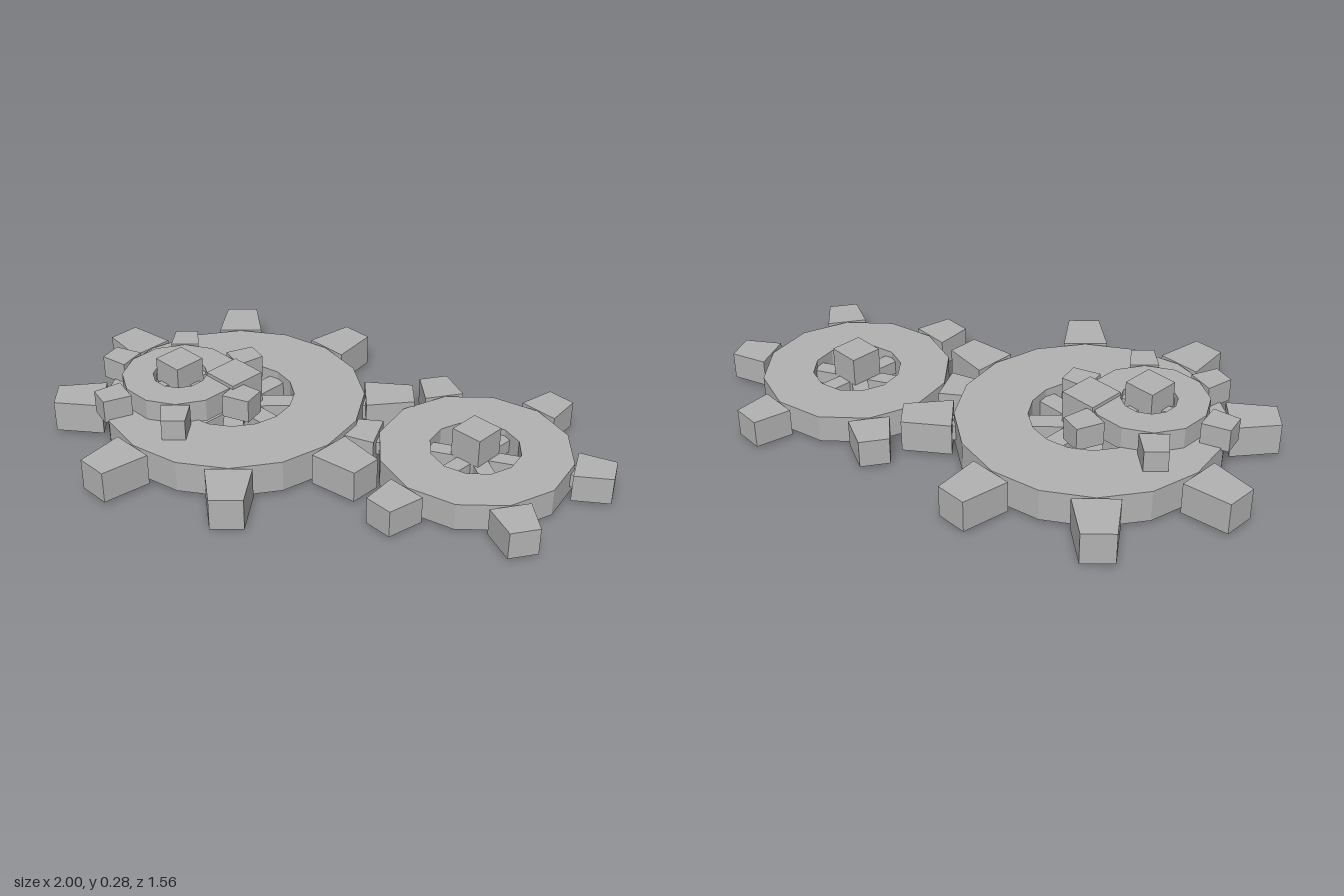
import * as THREE from 'three';

const steel = new THREE.MeshStandardMaterial({ color: 0xb2b2b2 });
steel.name = 'grey metal';

// Flat outline in plan (x right, y away) raised to a plate standing on y = 0
function plate(shape, height) {
  const geo = new THREE.ExtrudeGeometry(shape, { depth: height, bevelEnabled: false, curveSegments: 1 });
  return geo.rotateX(-Math.PI / 2);
}

function polygon(radius, sides) {
  return Array.from({ length: sides }, (_, i) => {
    const a = (i / sides) * Math.PI * 2;
    return new THREE.Vector2(Math.cos(a) * radius, Math.sin(a) * radius);
  });
}

function addMesh(parent, name, geometry, y) {
  const mesh = new THREE.Mesh(geometry, steel);
  mesh.name = name;
  mesh.position.y = y;
  parent.add(mesh);
  return mesh;
}

function createGear(g) {
  const gear = new THREE.Group();
  gear.name = g.name;
  gear.position.set(g.x, 0, g.z);
  const height = g.top - g.bottom;

  // Everything that turns with the teeth
  const wheel = new THREE.Group();
  wheel.name = 'wheel';
  wheel.rotation.y = THREE.MathUtils.degToRad(g.angle);
  gear.add(wheel);

  // Faceted rim with a round opening
  const rim = new THREE.Shape(polygon(g.rim, g.teeth * 2));
  rim.holes.push(new THREE.Path(polygon(g.hole, g.teeth * 2)));
  addMesh(wheel, 'rim', plate(rim, height), g.bottom);

  // Tapered teeth, each carried by a spoke running out from the hub
  const tooth = plate(new THREE.Shape([
    new THREE.Vector2(g.rim + 0.004, -g.base / 2),
    new THREE.Vector2(g.tip, -g.end / 2),
    new THREE.Vector2(g.tip, g.end / 2),
    new THREE.Vector2(g.rim + 0.004, g.base / 2),
  ]), height);
  const length = g.rim + 0.02;
  const spoke = new THREE.BoxGeometry(length, height * 0.5, g.spoke).translate(length / 2, 0, 0);
  for (let i = 0; i < g.teeth; i++) {
    const a = (i / g.teeth) * Math.PI * 2;
    addMesh(wheel, 'tooth', tooth, g.bottom).rotation.y = a;
    addMesh(wheel, 'spoke', spoke, (g.top + g.bottom) / 2).rotation.y = a;
  }

  // Square hub standing proud of both faces
  const hubHeight = g.hubTop - g.hubBottom;
  addMesh(gear, 'hub', new THREE.BoxGeometry(g.hub, hubHeight, g.hub), g.hubBottom + hubHeight / 2);
  return gear;
}

export function createModel() {
  const model = new THREE.Group();
  model.name = 'gearTrain';
  const gears = [
    { name: 'largeGear', x: -0.325, z: 0.1, angle: 0, teeth: 8, rim: 0.49, hole: 0.224, tip: 0.676,
      base: 0.168, end: 0.12, spoke: 0.075, bottom: 0.015, top: 0.137, hub: 0.145, hubBottom: 0, hubTop: 0.232 },
    { name: 'mediumGear', x: 0.532, z: -0.281, angle: 28, teeth: 6, rim: 0.354, hole: 0.166, tip: 0.498,
      base: 0.15, end: 0.11, spoke: 0.06, bottom: 0.012, top: 0.117, hub: 0.122, hubBottom: 0, hubTop: 0.2 },
    { name: 'smallGear', x: -0.48, z: 0.234, angle: 15, teeth: 6, rim: 0.218, hole: 0.102, tip: 0.328,
      base: 0.107, end: 0.086, spoke: 0.04, bottom: 0.129, top: 0.218, hub: 0.122, hubBottom: 0.119, hubTop: 0.284 },
  ];
  gears.forEach((g) => model.add(createGear(g)));
  return model;
}
